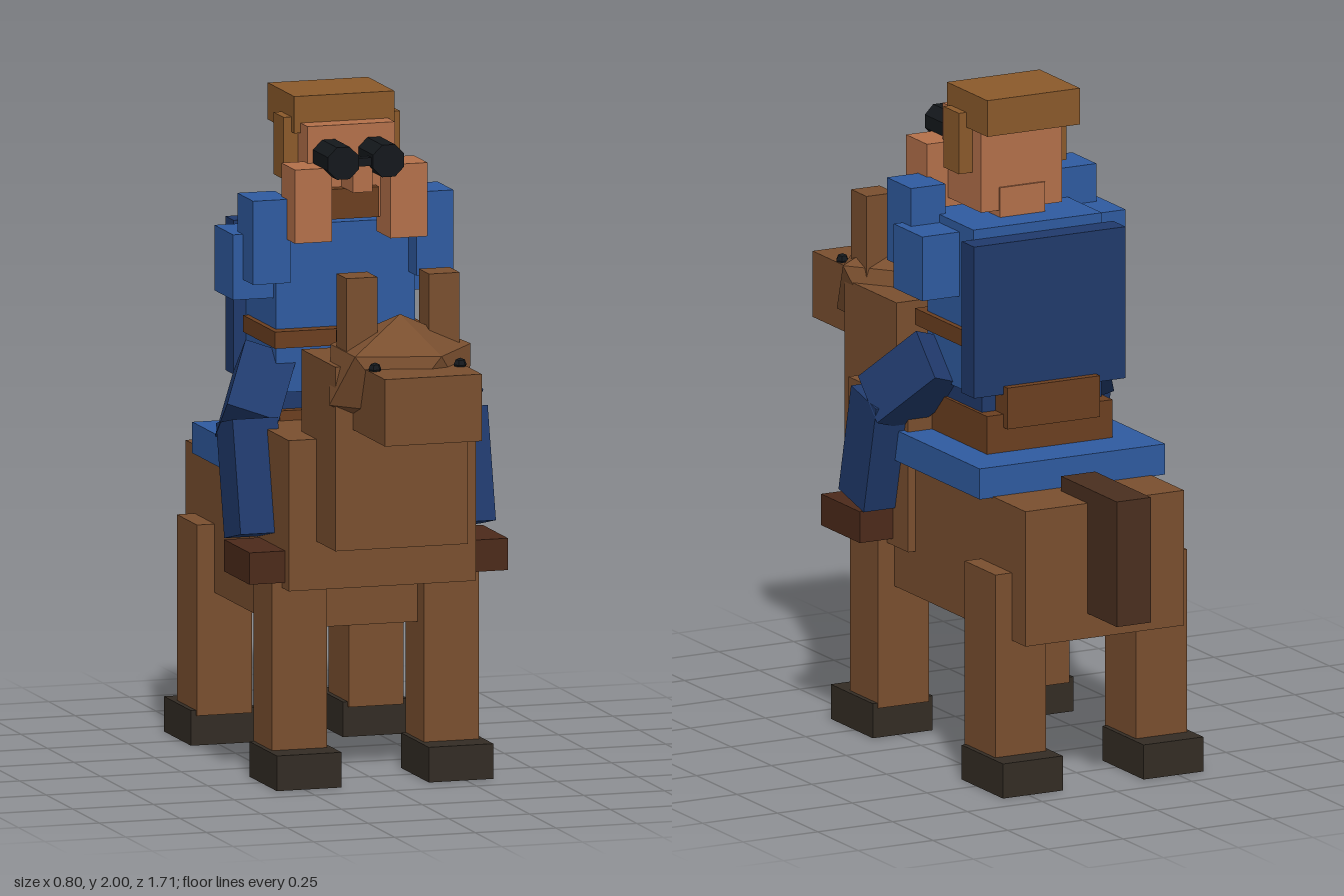
import * as THREE from 'three';

const COLORS = {
  coat: 0x7a4f2f, mane: 0x4a2f1f, hoof: 0x332c24, hair: 0x8b5a2b, skin: 0xb3704a,
  shirt: 0x2f5ba0, navy: 0x203a6c, leather: 0x6b3f20, boot: 0x4c2a1a, black: 0x14181c,
};
const materials = {};
for (const key in COLORS) {
  materials[key] = new THREE.MeshStandardMaterial({ color: COLORS[key], flatShading: true });
}

export function createModel() {
  const model = new THREE.Group();
  const horse = new THREE.Group();
  horse.name = 'horse';
  const rider = new THREE.Group();
  rider.name = 'rider';
  model.add(horse, rider);

  function add(parent, name, color, geometry, x, y, z) {
    const mesh = new THREE.Mesh(geometry, materials[color]);
    mesh.name = name;
    mesh.position.set(x, y, z);
    parent.add(mesh);
    return mesh;
  }
  // Box given by its extents along each axis
  function box(parent, name, color, x0, x1, y0, y1, z0, z1) {
    const geometry = new THREE.BoxGeometry(Math.abs(x1 - x0), y1 - y0, z1 - z0);
    return add(parent, name, color, geometry, (x0 + x1) / 2, (y0 + y1) / 2, (z0 + z1) / 2);
  }
  // Box centred on x = 0
  const mid = (parent, name, color, w, ...yz) => box(parent, name, color, -w, w, ...yz);

  // Horse trunk
  mid(horse, 'body', 'coat', 0.265, 0.455, 0.865, -0.675, 0.25);
  mid(horse, 'chest', 'coat', 0.29, 0.59, 1.04, 0.005, 0.375);
  mid(horse, 'neck', 'coat', 0.205, 0.735, 1.285, 0.235, 0.555);
  mid(horse, 'mane', 'mane', 0.05, 0.8, 1.31, 0.09, 0.236);
  mid(horse, 'tail', 'mane', 0.057, 0.53, 0.91, -0.855, -0.51);

  // Horse head: faceted skull standing on a vertex, with a boxy snout
  const skull = new THREE.IcosahedronGeometry(0.18, 0);
  skull.rotateX(-Math.atan((1 + Math.sqrt(5)) / 2));
  skull.rotateY(Math.PI / 2);
  skull.scale(1.36, 1, 1.22);
  add(horse, 'horseSkull', 'coat', skull, 0, 1.25, 0.54);
  mid(horse, 'snout', 'coat', 0.15, 1.095, 1.295, 0.55, 0.855);

  // Tack
  mid(horse, 'saddleBlanket', 'shirt', 0.31, 0.862, 0.955, -0.475, 0.05);
  mid(horse, 'saddle', 'leather', 0.21, 0.95, 1.07, -0.335, 0.05);
  mid(horse, 'cantle', 'leather', 0.155, 1.03, 1.155, -0.36, -0.285);

  // Rider torso
  mid(rider, 'hips', 'navy', 0.2, 1.035, 1.14, -0.285, 0.02);
  mid(rider, 'torso', 'shirt', 0.215, 1.12, 1.62, -0.26, 0.025);
  mid(rider, 'belt', 'leather', 0.232, 1.26, 1.31, -0.235, 0.07);
  mid(rider, 'cape', 'navy', 0.253, 1.13, 1.59, -0.335, -0.258);

  // Rider head
  mid(rider, 'neck', 'skin', 0.075, 1.58, 1.71, -0.167, -0.02);
  mid(rider, 'head', 'skin', 0.135, 1.64, 1.92, -0.16, 0.08);
  mid(rider, 'hair', 'hair', 0.155, 1.89, 2.0, -0.235, 0.015);
  mid(rider, 'nose', 'skin', 0.03, 1.735, 1.825, 0.07, 0.19);
  mid(rider, 'beard', 'leather', 0.075, 1.645, 1.735, 0.06, 0.115);
  mid(rider, 'binocularBridge', 'black', 0.04, 1.815, 1.84, 0.175, 0.205);

  // Mirrored parts
  for (const s of [1, -1]) {
    const side = s > 0 ? 'left' : 'right';
    const pair = (parent, name, color, x0, x1, ...yz) =>
      box(parent, side + name, color, s * x0, s * x1, ...yz);

    // Horse legs, hooves, ears and eyes
    pair(horse, 'FrontLeg', 'coat', 0.15, 0.32, 0.09, 0.66, 0.135, 0.31);
    pair(horse, 'FrontHoof', 'hoof', 0.135, 0.335, 0, 0.105, 0.14, 0.4);
    pair(horse, 'HindLeg', 'coat', 0.15, 0.32, 0.09, 0.66, -0.59, -0.4);
    pair(horse, 'HindHoof', 'hoof', 0.135, 0.335, 0, 0.105, -0.665, -0.41);
    pair(horse, 'Ear', 'coat', 0.08, 0.175, 1.3, 1.55, 0.475, 0.57);
    add(horse, side + 'Eye', 'black', new THREE.SphereGeometry(0.02, 6, 4), s * 0.132, 1.3, 0.705);

    // Raised arms
    pair(rider, 'UpperArm', 'shirt', 0.19, 0.34, 1.4, 1.595, -0.175, 0.002);
    pair(rider, 'Forearm', 'shirt', 0.195, 0.31, 1.46, 1.71, -0.05, 0.1);
    pair(rider, 'Hand', 'skin', 0.09, 0.205, 1.59, 1.81, 0.045, 0.175);
    pair(rider, 'Sideburn', 'hair', 0.125, 0.18, 1.75, 1.935, -0.105, -0.01);

    // Binocular barrel
    const barrel = new THREE.CylinderGeometry(0.052, 0.052, 0.14, 8);
    barrel.rotateY(Math.PI / 8);
    barrel.rotateX(Math.PI / 2);
    add(rider, side + 'BinocularBarrel', 'black', barrel, s * 0.07, 1.83, 0.15);

    // Bent legs
    const thigh = add(rider, side + 'Thigh', 'navy',
      new THREE.BoxGeometry(0.16, 0.25, 0.165), s * 0.27, 1.11, 0.005);
    thigh.rotation.set(-0.78, 0, s * 0.45);
    const shin = add(rider, side + 'Shin', 'navy',
      new THREE.BoxGeometry(0.14, 0.34, 0.16), s * 0.325, 0.89, 0.125);
    shin.rotation.x = -0.23;
    pair(rider, 'Boot', 'boot', 0.25, 0.4, 0.61, 0.705, 0.1, 0.34);
  }
  return model;
}
